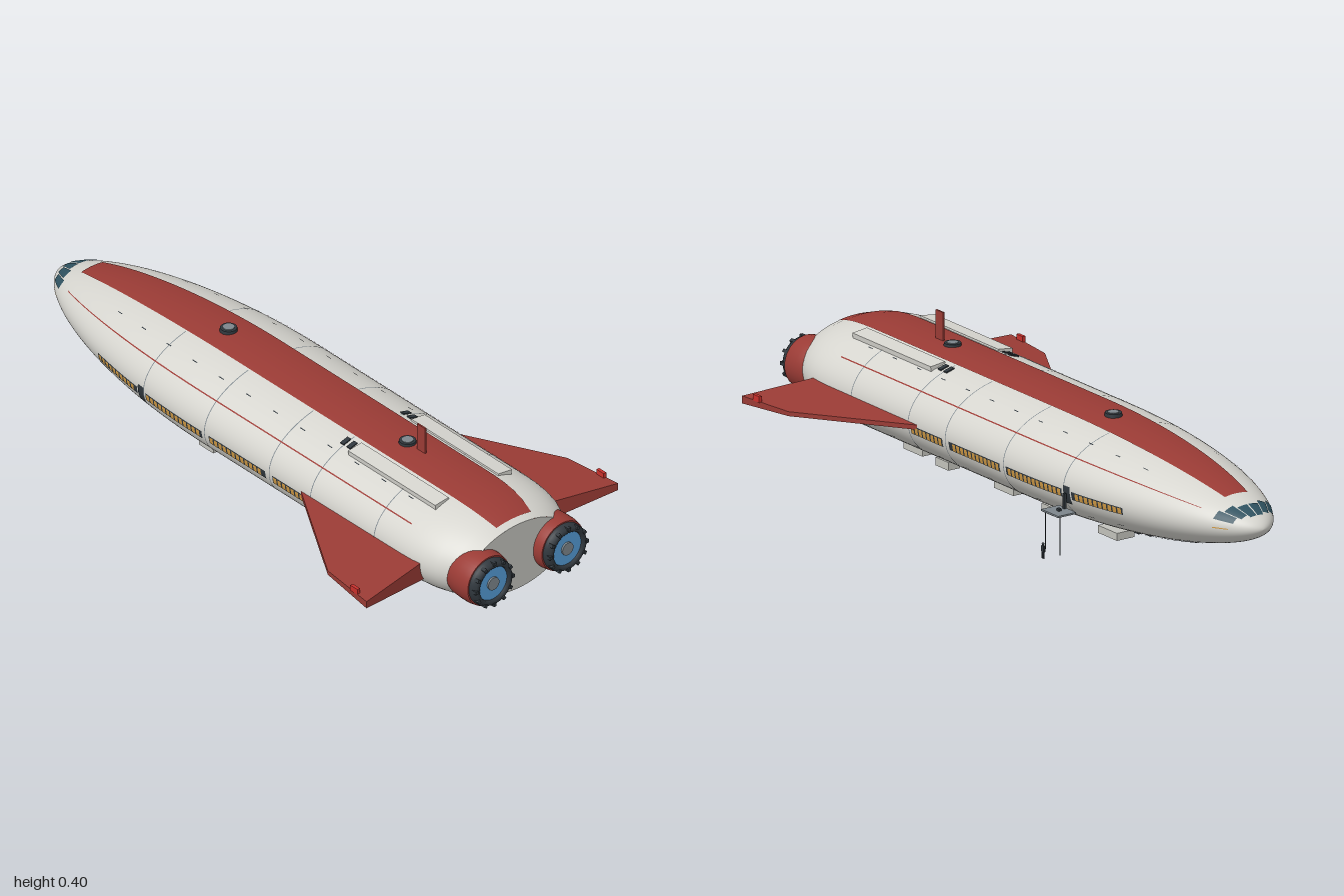
import * as THREE from 'three';

const mat = (name, color, side = THREE.FrontSide) => {
  const m = new THREE.MeshStandardMaterial({ color, side });
  m.name = name;
  return m;
};

// Hull surface: angle 0 is the roof, 90 the +x flank, 180 the keel
const W = 0.245, H = 0.145, CY = 0.17, TAIL = 0.94, RAD = Math.PI / 180;
function scaleAt(z) {
  if (z < -0.15) return Math.pow(Math.max(0, 1 - Math.pow(1 - (z + 1) / 0.85, 2)), 0.575);
  if (z > 0.7) return 1 - 0.27 * Math.pow((z - 0.7) / 0.24, 3);
  return 1;
}
function hullPoint(z, deg) {
  const k = scaleAt(z), a = deg * RAD;
  return new THREE.Vector3(W * k * Math.sin(a), CY + H * k * Math.cos(a), z);
}
function hullNormal(z, deg) {
  const q = Math.min(Math.max(z, -0.9995), TAIL), e = 0.0004;
  const dz = hullPoint(q + e, deg).sub(hullPoint(q - e, deg));
  const da = hullPoint(q, deg + 0.2).sub(hullPoint(q, deg - 0.2));
  return dz.cross(da).normalize();
}

// A piece of hull skin between two stations and two angles, lifted by off
function skin(z0, z1, a0, a1, off) {
  const nz = Math.max(1, Math.ceil((z1 - z0) * 45)), na = Math.max(1, Math.ceil((a1 - a0) / 4));
  const pos = [], nor = [], idx = [];
  for (let i = 0; i <= nz; i++) {
    const t = i / nz, z = z0 + (z1 - z0) * (z0 < -0.8 ? t * t : t);
    for (let j = 0; j <= na; j++) {
      const a = a0 + (a1 - a0) * j / na, n = hullNormal(z, a);
      pos.push(...hullPoint(z, a).addScaledVector(n, off).toArray());
      nor.push(...n.toArray());
      if (i < nz && j < na) {
        const p = i * (na + 1) + j, q = p + na + 1;
        idx.push(p, q, p + 1, q, q + 1, p + 1);
      }
    }
  }
  const g = new THREE.BufferGeometry();
  g.setAttribute('position', new THREE.Float32BufferAttribute(pos, 3));
  g.setAttribute('normal', new THREE.Float32BufferAttribute(nor, 3));
  g.setIndex(idx);
  return g;
}

export function createModel() {
  const root = new THREE.Group();
  root.name = 'spaceLiner';
  const white = mat('hullWhite', 0xd6d5cf), red = mat('paintRed', 0x9a3b35);
  const panel = mat('panelGrey', 0xc2c2bc), belly = mat('bellyGrey', 0x6c7174);
  const dark = mat('darkMetal', 0x30373d), blue = mat('engineBlue', 0x559bd6);
  const glass = mat('cockpitGlass', 0x2f5260), amber = mat('windowAmber', 0xd09a45);
  const steel = mat('steelGrey', 0x7d868c), lamp = mat('lampRed', 0xc8302c);

  const add = (name, geo, m, x = 0, y = 0, z = 0, parent = root) => {
    const mesh = new THREE.Mesh(geo, m);
    mesh.name = name;
    mesh.position.set(x, y, z);
    parent.add(mesh);
    return mesh;
  };
  const box = (name, m, w, h, d, x, y, z, parent) =>
    add(name, new THREE.BoxGeometry(w, h, d), m, x, y, z, parent);
  const patch = (name, m, z0, z1, a0, a1, off = 0.0015) => add(name, skin(z0, z1, a0, a1, off), m);
  const both = (name, m, z0, z1, a0, a1, off) => {
    patch(name, m, z0, z1, a0, a1, off);
    patch(name, m, z0, z1, -a1, -a0, off);
  };

  // Hull, tail bulkhead, roof stripe and belly shield
  patch('hull', white, -1, TAIL, -180, 180, 0);
  const bulkhead = add('tailBulkhead', new THREE.CircleGeometry(1, 72), panel, 0, CY, TAIL);
  bulkhead.scale.set(W * 0.73, H * 0.73, 1);
  patch('roofStripe', red, -0.87, 0.92, -19, 19, 0.002);
  patch('bellyShield', belly, -0.8, 0.93, 144, 216, 0.002);
  both('sideLine', red, -0.85, 0.72, 54.4, 55.6);

  // Hull seams and rows of small panel marks
  for (const z of [-0.38, -0.11, 0.165, 0.34, 0.61]) both('seam', steel, z, z + 0.003, 20, 143, 0.001);
  for (let i = 0; i < 12; i++) {
    const z = -0.62 + i * 0.115;
    both('panelMark', dark, z, z + 0.02, 36.5, 37.3);
    both('lowerPanelMark', steel, z + 0.04, z + 0.065, 122, 123);
  }

  // Cockpit windows and nose markings
  for (let i = 0; i < 3; i++) {
    const z = -0.968 + i * 0.01;
    both('cockpitWindow', glass, z, z + 0.045 + i * 0.003, 1.5 + i * 23, 22.5 + i * 23, 0.002);
  }
  both('noseMark', amber, -0.94, -0.9, 88, 91);

  // Passenger window bands with lit panes
  for (const [z0, z1] of [[-0.61, -0.41], [-0.37, -0.12], [-0.09, 0.15], [0.18, 0.33]]) {
    both('windowBand', dark, z0, z1, 91, 101, 0.0015);
    for (let z = z0 + 0.005; z < z1 - 0.014; z += 0.0185) both('windowPane', amber, z, z + 0.013, 92, 100, 0.0028);
  }
  both('door', dark, -0.405, -0.378, 86, 108, 0.002);

  // Tapered wings, thin in front and thick behind
  for (const s of [1, -1]) {
    const g = new THREE.BoxGeometry(1, 1, 1), p = g.attributes.position;
    for (let i = 0; i < p.count; i++) {
      const tip = p.getX(i) * s > 0, up = p.getY(i) > 0, aft = p.getZ(i) > 0;
      const x = tip ? (aft ? 0.462 : 0.44) : 0.2;
      const z = tip ? (aft ? 0.83 : 0.64) : (aft ? 0.795 : 0.222);
      const y = tip ? (up ? 0.161 : (aft ? 0.139 : 0.148)) : (aft ? (up ? 0.181 : 0.118) : (up ? 0.178 : 0.164));
      p.setXYZ(i, x * s, y, z);
    }
    g.computeVertexNormals();
    add('wing', g, red);
    box('wingLamp', lamp, 0.01, 0.018, 0.03, s * 0.452, 0.168, 0.77);
  }

  // Twin engines
  const profile = pts => new THREE.LatheGeometry(pts.map(([r, h]) => new THREE.Vector2(r, h)), 40).rotateX(Math.PI / 2);
  for (const s of [1, -1]) {
    const e = new THREE.Group();
    e.name = 'engine';
    e.position.set(s * 0.136, 0.162, 0);
    root.add(e);
    add('nacelle', profile([[0.055, 0.84], [0.07, 0.86], [0.079, 0.89], [0.081, 0.92], [0.081, 0.95], [0.077, 0.972]]), red, 0, 0, 0, e);
    add('nacelleRim', new THREE.RingGeometry(0.06, 0.077, 40), red, 0, 0, 0.972, e);
    add('nozzle', profile([[0.073, 0.965], [0.073, 0.982], [0.066, 0.996], [0.054, 0.996], [0.052, 0.985]]), dark, 0, 0, 0, e);
    add('engineGlow', new THREE.CircleGeometry(0.055, 40), blue, 0, 0, 0.988, e);
    add('engineCore', new THREE.CylinderGeometry(0.02, 0.02, 0.012, 24).rotateX(Math.PI / 2), steel, 0, 0, 0.988, e);
    for (let i = 0; i < 12; i++) {
      const a = i * Math.PI / 6;
      box('nozzleStud', dark, 0.01, 0.01, 0.022, Math.cos(a) * 0.067, Math.sin(a) * 0.067, 0.989, e).rotation.z = a;
    }
  }

  // Roof hatches and mast fin
  for (const z of [-0.29, 0.47]) {
    add('hatchRing', new THREE.CylinderGeometry(0.024, 0.026, 0.014, 28), dark, 0, 0.317, z);
    add('hatchLid', new THREE.CylinderGeometry(0.016, 0.016, 0.004, 28), steel, 0, 0.324, z);
  }
  box('mastFin', red, 0.005, 0.085, 0.034, 0, 0.3575, 0.53);

  // Raised roof panels and vents
  for (const s of [1, -1]) {
    const bay = box('roofPanel', white, 0.05, 0.018, 0.37, s * 0.115, 0.298, 0.565);
    bay.rotation.z = -s * 0.12;
    for (const z of [0.335, 0.362]) {
      const vent = box('roofVent', dark, 0.028, 0.007, 0.015, s * 0.11, 0.2995, z);
      vent.rotation.z = -s * 0.27;
    }
  }

  // Belly fairings, gear doors and service grates
  const pod = (x, y, z, w, h, d) => {
    box('bellyPod', panel, w, h, d, x, y, z);
    box('podHatch', belly, w * 0.7, 0.004, d * 0.75, x, y - h / 2 - 0.001, z);
  };
  for (const s of [1, -1]) {
    for (const z of [-0.42, 0.07, 0.5]) pod(s * 0.085, 0.027, z, 0.06, 0.022, 0.09);
    for (const z of [-0.2, 0.3]) pod(s * 0.14, 0.045, z, 0.04, 0.024, 0.06);
    for (let i = 0; i < 6; i++) box('bellyGrate', dark, 0.012, 0.006, 0.13, s * 0.035, 0.0235, -0.4 + i * 0.17);
  }
  for (const z of [-0.45, -0.15, 0.2, 0.45]) {
    box('keelHatch', dark, 0.03, 0.012, 0.07, 0, 0.02, z);
    box('keelPlate', steel, 0.06, 0.006, 0.05, 0, 0.022, z + 0.09);
  }

  // Boarding platform with legs and a rail post
  box('platform', steel, 0.062, 0.005, 0.08, 0.269, 0.115, -0.402);
  for (const z of [-0.435, -0.365])
    add('platformLeg', new THREE.CylinderGeometry(0.0016, 0.0016, 0.114, 8), dark, 0.288, 0.057, z);
  box('platformPost', dark, 0.008, 0.045, 0.008, 0.244, 0.139, -0.395);
  box('platformConsole', dark, 0.01, 0.007, 0.012, 0.268, 0.121, -0.402);

  // Standing figure for scale
  for (const s of [1, -1]) {
    box('figureLeg', dark, 0.003, 0.02, 0.004, 0.343, 0.01, -0.43 + s * 0.003);
    box('figureArm', dark, 0.003, 0.016, 0.003, 0.343, 0.028, -0.43 + s * 0.007);
  }
  box('figureTorso', dark, 0.005, 0.018, 0.01, 0.343, 0.029, -0.43);
  add('figureHead', new THREE.SphereGeometry(0.0038, 12, 8), dark, 0.343, 0.0425, -0.43);
  return root;
}
